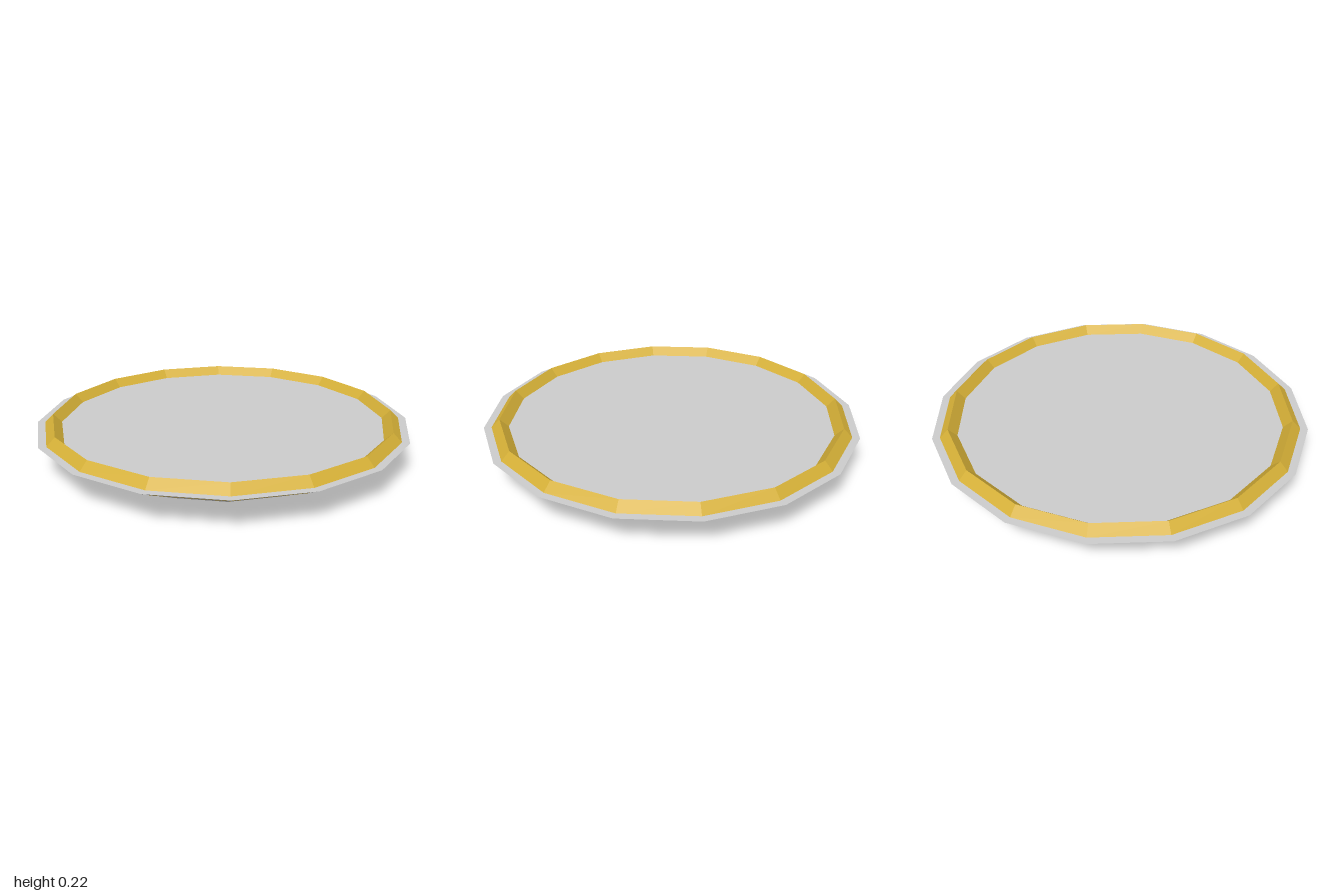
import * as THREE from 'three';

const SIDES = 16;
const HEIGHT = 0.17;

export function createModel() {
  const model = new THREE.Group();
  const add = (name, geometry, color) => {
    const material = new THREE.MeshStandardMaterial({ color, flatShading: true });
    const mesh = new THREE.Mesh(geometry, material);
    mesh.name = name;
    model.add(mesh);
    return mesh;
  };

  // Solid faceted body, flaring from a narrow foot to a flat top
  const body = add('dishBody', new THREE.CylinderGeometry(1, 0.665, HEIGHT, SIDES), 0xcccccc);
  body.position.y = HEIGHT / 2;

  // Diamond-section gold ring, half sunk into the top
  const ring = add('goldRim', new THREE.TorusGeometry(0.915, 0.045, 4, SIDES), 0xd4af37);
  ring.rotation.x = -Math.PI / 2;
  ring.position.y = HEIGHT;

  return model;
}
